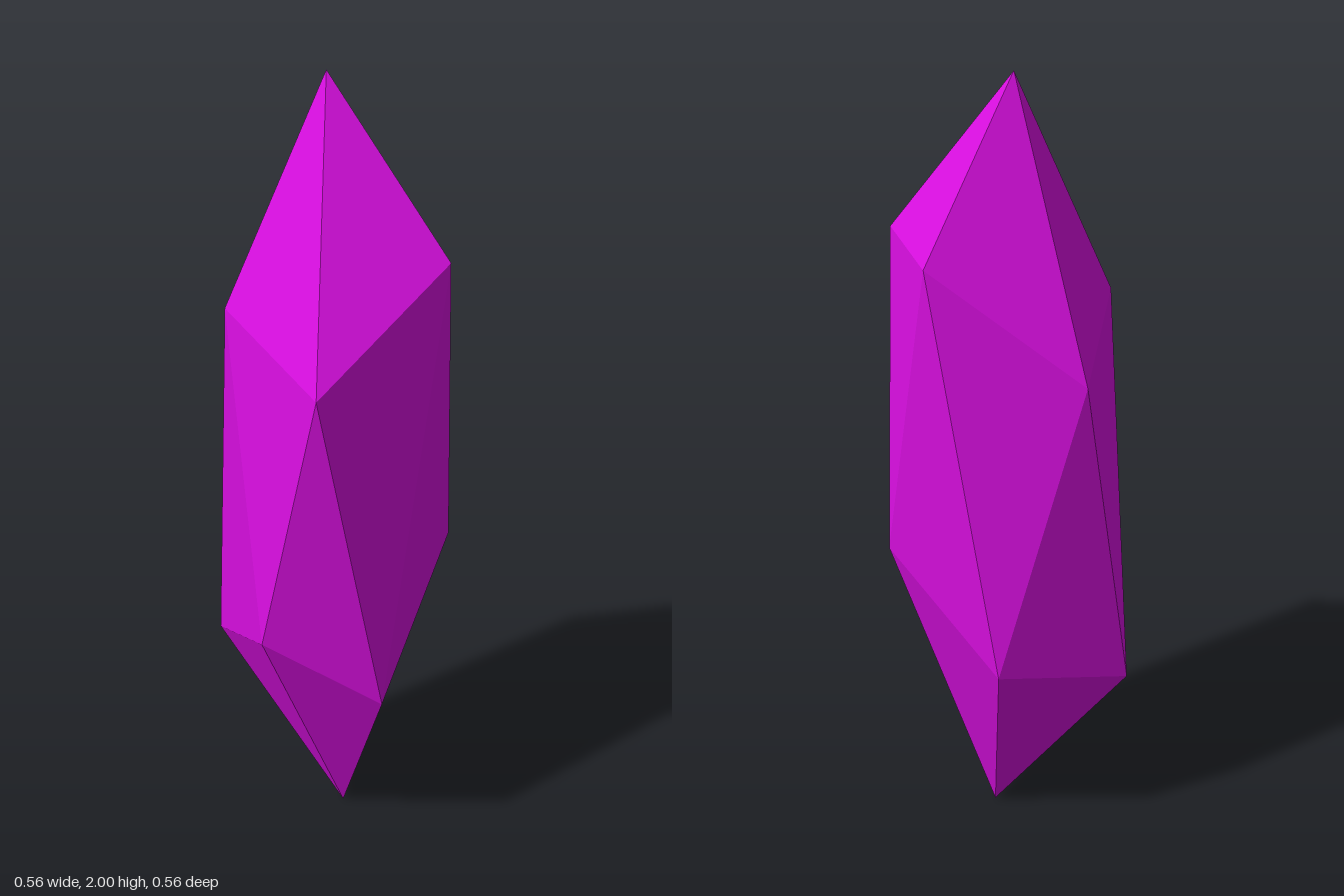
import * as THREE from 'three';

// Irregular faceted crystal: two tips joined by two staggered five-point rings
const topTip = [0.035, 2, -0.015];
const bottomTip = [0.035, 0, 0.05];

// Both rings run clockwise seen from above; lower[i] sits just before upper[i]
const upper = [
  [0.08, 1.335, -0.25],
  [0.278, 1.61, 0.05],
  [0.11, 1.61, 0.281],
  [-0.256, 1.385, 0.204],
  [-0.163, 1.47, -0.148],
];
const lower = [
  [-0.075, 0.48, -0.284],
  [0.242, 0.585, -0.118],
  [0.232, 0.83, 0.22],
  [-0.096, 0.515, 0.277],
  [-0.28, 0.69, 0.053],
];

function crystalGeometry() {
  const positions = [];
  const face = (a, b, c) => positions.push(...a, ...b, ...c);
  const n = upper.length;
  for (let i = 0; i < n; i++) {
    const j = (i + 1) % n;
    face(topTip, upper[j], upper[i]);       // upper point
    face(upper[i], upper[j], lower[j]);     // long facet, pointing down
    face(lower[i], upper[i], lower[j]);     // long facet, pointing up
    face(lower[i], lower[j], bottomTip);    // lower point
  }
  const geometry = new THREE.BufferGeometry();
  geometry.setAttribute('position', new THREE.Float32BufferAttribute(positions, 3));
  geometry.computeVertexNormals();
  return geometry;
}

export function createModel() {
  const group = new THREE.Group();
  group.name = 'crystal';
  const material = new THREE.MeshStandardMaterial({ color: 0xd80fe0, flatShading: true });
  const shard = new THREE.Mesh(crystalGeometry(), material);
  shard.name = 'crystalShard';
  group.add(shard);
  return group;
}
